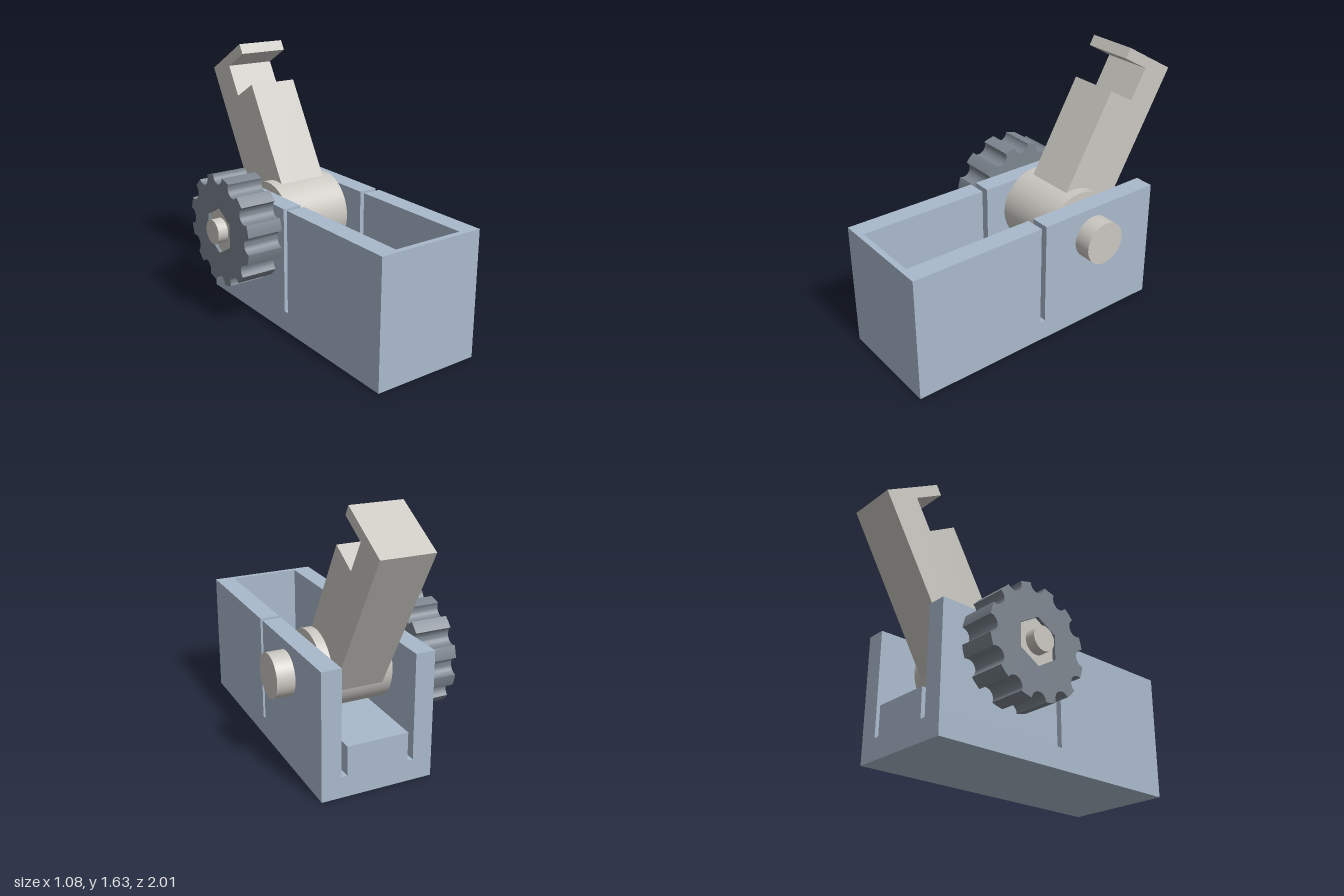
import * as THREE from 'three';
import { toCreasedNormals } from 'three/addons/utils/BufferGeometryUtils.js';

const paint = (name, color) => Object.assign(new THREE.MeshStandardMaterial({ color }), { name });

export function createModel() {
  const model = new THREE.Group();
  model.name = 'clampBox';
  const blue = paint('blueGrey', 0xa9b9cb);
  const beige = paint('warmGrey', 0xcbc8c2);
  const steel = paint('darkSteel', 0x7c858f);

  const add = (parent, name, geometry, material) => {
    const mesh = new THREE.Mesh(geometry, material);
    mesh.name = name;
    parent.add(mesh);
    return mesh;
  };
  // Floor-plan outline given as [x, z], raised from y0 to y1
  const plan = (points, y0, y1) => {
    const shape = new THREE.Shape(points.map(([x, z]) => new THREE.Vector2(x, -z)));
    return new THREE.ExtrudeGeometry(shape, { depth: y1 - y0, bevelEnabled: false })
      .rotateX(-Math.PI / 2).translate(0, y0, 0);
  };
  // Side outline given as (-z, y), extruded from x0 to x1
  const across = (shape, x0, x1) =>
    new THREE.ExtrudeGeometry(shape, { depth: x1 - x0, bevelEnabled: false, curveSegments: 10 })
      .rotateY(Math.PI / 2).translate(x0, 0, 0);
  const rod = (radius, x0, x1) =>
    new THREE.CylinderGeometry(radius, radius, x1 - x0, 64)
      .rotateZ(Math.PI / 2).translate((x0 + x1) / 2, 0, 0);
  const rect = (x0, x1, z0, z1) => [[x0, z0], [x1, z0], [x1, z1], [x0, z1]];

  // Housing: outer and inner wall faces, slot width, heights
  const L = -0.265, R = 0.425, l = -0.145, r = 0.305, gap = 0.035;
  const back = -0.73, front = 1, slotBack = 0.11, slotFront = 0.145;
  const slotY = 0.13, floorY = 0.31, top = 0.78;
  const housing = new THREE.Group();
  housing.name = 'housing';
  model.add(housing);
  add(housing, 'base', plan(rect(L, R, back, front), 0, slotY), blue);
  add(housing, 'trayWalls', plan([
    [L, slotFront], [L, front], [R, front], [R, slotFront],
    [r, slotFront], [r, 0.965], [l, 0.965], [l, slotFront],
  ], slotY, top), blue);
  add(housing, 'floor', plan([
    [l, 0.965], [r, 0.965], [r, slotFront], [r - gap, slotFront],
    [r - gap, back], [l + gap, back], [l + gap, slotFront], [l, slotFront],
  ], slotY, floorY), blue);
  add(housing, 'rightArm', plan(rect(L, l, back, slotBack), slotY, top), blue);
  add(housing, 'leftArm', plan(rect(r, R, back, slotBack), slotY, top), blue);

  // Everything that turns on the cross axle
  const pivot = new THREE.Group();
  pivot.name = 'pivot';
  pivot.position.set(0, 0.588, -0.253);
  model.add(pivot);
  add(pivot, 'axle', rod(0.075, -0.54, 0.43), beige);
  add(pivot, 'axleHead', rod(0.135, R, 0.535), beige);
  add(pivot, 'hub', rod(0.2375, -0.135, 0.3), beige);

  // Hooked lever, drawn upright then tilted back
  const leverOutline = [
    [0.23, 0], [0.23, 1.107], [-0.163, 1.107], [-0.163, 1.04],
    [0.034, 1.04], [0.034, 0.832], [-0.163, 0.832], [-0.163, 0],
  ].map(([a, b]) => new THREE.Vector2(a, b));
  const lever = add(pivot, 'lever', across(new THREE.Shape(leverOutline), -0.075, 0.24), beige);
  lever.rotation.x = -Math.PI / 6;

  // Scalloped knob with a hexagonal pocket
  const teeth = 12, radius = 0.345, notch = 0.052;
  const half = 2 * Math.asin(notch / (2 * radius));
  const step = (2 * Math.PI) / teeth;
  const knob = new THREE.Shape();
  for (let i = 0; i < teeth; i++) {
    const t = i * step;
    knob.absarc(radius * Math.cos(t), radius * Math.sin(t), notch,
      t - Math.PI / 2 - half / 2, t - 1.5 * Math.PI + half / 2, true);
    knob.absarc(0, 0, radius, t + half, t + step - half, false);
  }
  const hexagon = Array.from({ length: 6 }, (_, i) => {
    const t = Math.PI / 6 + (i * Math.PI) / 3;
    return new THREE.Vector2(0.147 * Math.cos(t), 0.147 * Math.sin(t));
  });
  knob.holes.push(new THREE.Path(hexagon));
  add(pivot, 'knob', toCreasedNormals(across(knob, -0.495, L), 0.6), steel);
  add(pivot, 'nut', across(new THREE.Shape(hexagon), -0.475, L), beige);

  return model;
}
